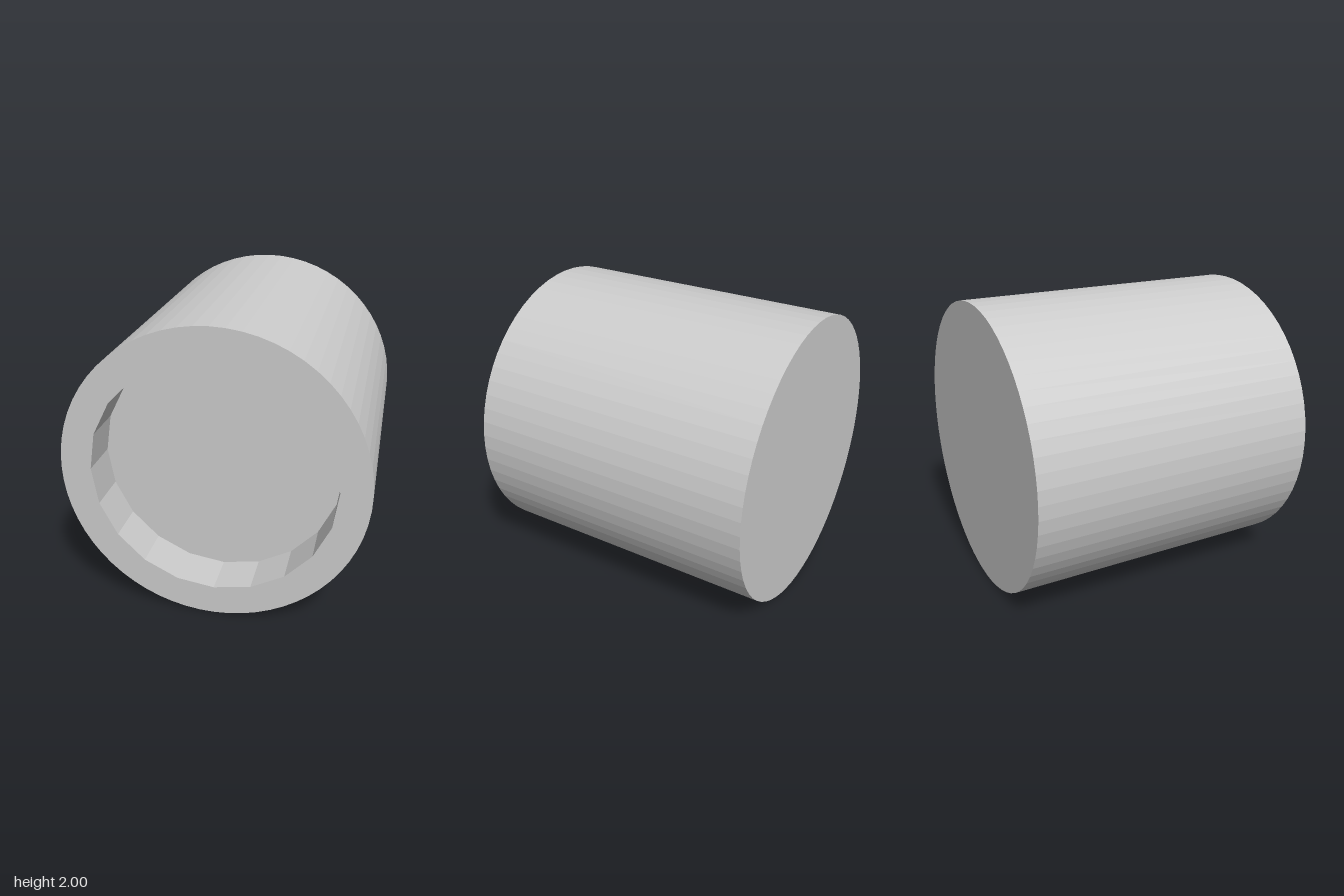
import * as THREE from 'three';

const OUTER_RADIUS = 1, OUTER_SIDES = 64;
const RECESS_RADIUS = 0.8, RECESS_SIDES = 20, RECESS_DEPTH = 0.3;
const LENGTH = 2, FRONT = LENGTH / 2;

// Corners of a regular polygon around the origin
function polygon(radius, sides) {
  return Array.from({ length: sides }, (_, i) => {
    const a = (i / sides) * Math.PI * 2;
    return new THREE.Vector2(radius * Math.cos(a), radius * Math.sin(a));
  });
}

// Open tube lying along z
function tube(radius, sides, length) {
  return new THREE.CylinderGeometry(radius, radius, length, sides, 1, true).rotateX(Math.PI / 2);
}

export function createModel() {
  const model = new THREE.Group();
  model.name = 'recessedCylinder';

  const material = new THREE.MeshStandardMaterial({ color: 0xcccccc, flatShading: true });
  const wallMaterial = material.clone();
  wallMaterial.side = THREE.DoubleSide;

  const add = (name, geometry, z, mat = material) => {
    const mesh = new THREE.Mesh(geometry, mat);
    mesh.name = name;
    mesh.position.set(0, OUTER_RADIUS, z);
    model.add(mesh);
    return mesh;
  };

  // Outer wall and closed back
  add('outerWall', tube(OUTER_RADIUS, OUTER_SIDES, LENGTH), 0);
  add('backFace', new THREE.CircleGeometry(OUTER_RADIUS, OUTER_SIDES), -FRONT).rotation.y = Math.PI;

  // Front rim: round outside, coarser polygon inside
  const rim = new THREE.Shape(polygon(OUTER_RADIUS, OUTER_SIDES));
  rim.holes.push(new THREE.Path(polygon(RECESS_RADIUS, RECESS_SIDES)));
  add('frontRim', new THREE.ShapeGeometry(rim), FRONT);

  // Shallow recess in the front
  add('recessWall', tube(RECESS_RADIUS, RECESS_SIDES, RECESS_DEPTH), FRONT - RECESS_DEPTH / 2, wallMaterial);
  add('recessFloor', new THREE.CircleGeometry(RECESS_RADIUS, RECESS_SIDES), FRONT - RECESS_DEPTH);

  return model;
}
